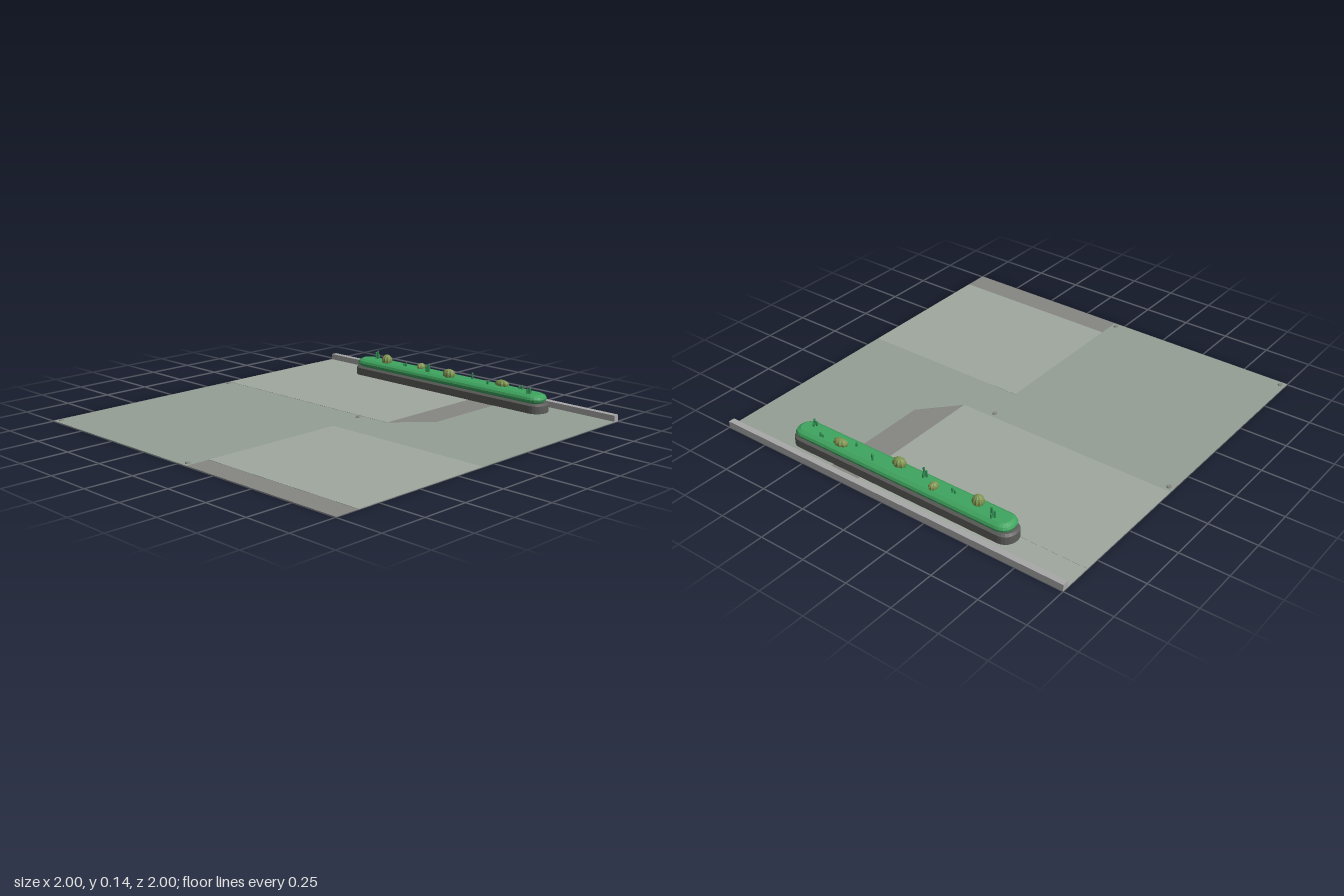
import * as THREE from 'three';

const material = (color, flatShading = true) => {
  const m = new THREE.MeshStandardMaterial({ color });
  m.flatShading = flatShading;
  return m;
};

function add(parent, name, geometry, mat, x = 0, y = 0, z = 0) {
  const mesh = new THREE.Mesh(geometry, mat);
  mesh.name = name;
  mesh.position.set(x, y, z);
  parent.add(mesh);
  return mesh;
}

// Thin paving slab from an outline of [x, z] corners
function slab(points, height) {
  const shape = new THREE.Shape(points.map(([x, z]) => new THREE.Vector2(x, -z)));
  return new THREE.ExtrudeGeometry(shape, { depth: height, bevelEnabled: false }).rotateX(-Math.PI / 2);
}

const rect = (x0, z0, x1, z1) => [[x0, z0], [x0, z1], [x1, z1], [x1, z0]];

// Stack of rounded rectangles; each ring is [inset, y]
function roundedStack(halfX, halfZ, radius, rings) {
  const steps = 5, n = 4 * (steps + 1), pos = [], index = [];
  for (const [inset, y] of rings) {
    const r = radius - inset;
    for (let c = 0; c < 4; c++) {
      const sx = c === 0 || c === 3 ? 1 : -1, sz = c < 2 ? 1 : -1;
      for (let i = 0; i <= steps; i++) {
        const a = (c + i / steps) * Math.PI / 2;
        pos.push(sx * (halfX - radius) + r * Math.cos(a), y, sz * (halfZ - radius) + r * Math.sin(a));
      }
    }
  }
  const last = rings.length - 1;
  for (let k = 0; k < last; k++) {
    for (let i = 0; i < n; i++) {
      const a = k * n + i, b = k * n + (i + 1) % n;
      index.push(a, a + n, b, b, a + n, b + n);
    }
  }
  for (let i = 1; i < n - 1; i++) {
    index.push(0, i, i + 1);
    index.push(last * n, last * n + i + 1, last * n + i);
  }
  const g = new THREE.BufferGeometry();
  g.setAttribute('position', new THREE.Float32BufferAttribute(pos, 3));
  g.setIndex(index);
  g.computeVertexNormals();
  return g;
}

// Ribbed barrel plant: a sphere pinched along alternate meridians
function barrel() {
  const g = new THREE.SphereGeometry(1, 20, 10);
  const p = g.attributes.position;
  for (let i = 0; i < p.count; i++) {
    const rib = (i % 21) % 2 ? 0.86 : 1;
    p.setXYZ(i, p.getX(i) * rib, p.getY(i), p.getZ(i) * rib);
  }
  g.computeVertexNormals();
  return g;
}

export function createModel() {
  const model = new THREE.Group();
  model.name = 'courtyard';
  const light = material(0xa0a89f), dark = material(0x949f94), grey = material(0x868682);

  // Paving
  const paving = new THREE.Group();
  paving.name = 'paving';
  model.add(paving);
  add(paving, 'backLeftEdgePaving', slab(rect(-1, -0.967, 0.206, -0.825), 0.003), light);
  add(paving, 'backLeftPaving', slab(rect(-1, -0.825, 0.206, -0.155), 0.004), light);
  add(paving, 'frontLeftPaving', slab(
    [[-1, -0.155], [-1, 1], [0.06, 1], [0.06, 0.078], [0.206, 0.078], [0.206, -0.155]], 0.003), dark);
  add(paving, 'backRightPaving', slab(
    [[0.375, -0.967], [0.375, -0.34], [0.206, -0.155], [0.206, 0.078], [1, 0.078], [1, -0.967]], 0.004), dark);
  add(paving, 'path', slab([[0.206, -0.967], [0.206, -0.155], [0.375, -0.34], [0.375, -0.967]], 0.003), grey);
  add(paving, 'frontRightPaving', slab(rect(0.06, 0.078, 1, 0.872), 0.004), light);
  add(paving, 'frontStrip', slab(rect(0.06, 0.872, 1, 1), 0.003), grey);

  // Kerb along the back edge
  add(model, 'backKerb', new THREE.BoxGeometry(2, 0.035, 0.033), material(0xa8a8a8), 0, 0.0175, -0.9835);

  // Ground studs
  const stud = new THREE.CylinderGeometry(0.011, 0.014, 0.009, 12);
  for (const x of [-0.975, 0.035])
    for (const z of [-0.125, 0.972]) add(model, 'groundStud', stud, grey, x, 0.0045, z);

  // Planter and its mounded bed
  const planter = new THREE.Group();
  planter.name = 'planter';
  planter.position.set(0.004, 0, -0.855);
  model.add(planter);
  add(planter, 'planterBase', roundedStack(0.658, 0.065, 0.06,
    [[0, 0], [0, 0.044], [0.012, 0.053]]), material(0x5c5c5a));
  add(planter, 'greenBed', roundedStack(0.646, 0.065, 0.06,
    [[0.02, 0.05], [0.004, 0.062], [0, 0.074], [0.006, 0.086], [0.024, 0.096]]), material(0x3fa45f));

  // Barrel plants: x, z, radius x, radius z, top
  const barrelGeometry = barrel(), olive = material(0x7f9450);
  for (const [x, z, rx, rz, top] of [
    [-0.43, -0.84, 0.03, 0.029, 0.141], [-0.2, -0.871, 0.022, 0.028, 0.125],
    [0.035, -0.832, 0.037, 0.029, 0.137], [0.365, -0.872, 0.042, 0.026, 0.126]]) {
    const ry = (top - 0.09) / 1.6;
    add(model, 'barrelPlant', barrelGeometry, olive, x, top - ry, z).scale.set(rx, ry, rz);
  }

  // Slender stems, some in clusters: x, z, top, count
  const leaf = material(0x2f8a50);
  for (const [x, z, top, count] of [
    [-0.54, -0.88, 0.143, 3], [-0.295, -0.85, 0.119, 2], [-0.115, -0.832, 0.143, 3], [0.16, -0.878, 0.13, 1],
    [0.295, -0.84, 0.117, 1], [0.48, -0.886, 0.118, 2], [0.57, -0.833, 0.13, 3]]) {
    for (let i = 0; i < count; i++) {
      const a = i * 2.1 + 0.6, spread = count > 1 ? 0.009 : 0;
      const h = (top - 0.09) * (1 - 0.2 * i);
      const stem = new THREE.CapsuleGeometry(0.0055, h - 0.011, 2, 7);
      add(model, 'stem', stem, leaf, x + spread * Math.cos(a), 0.09 + h / 2, z + spread * Math.sin(a));
    }
  }
  return model;
}
